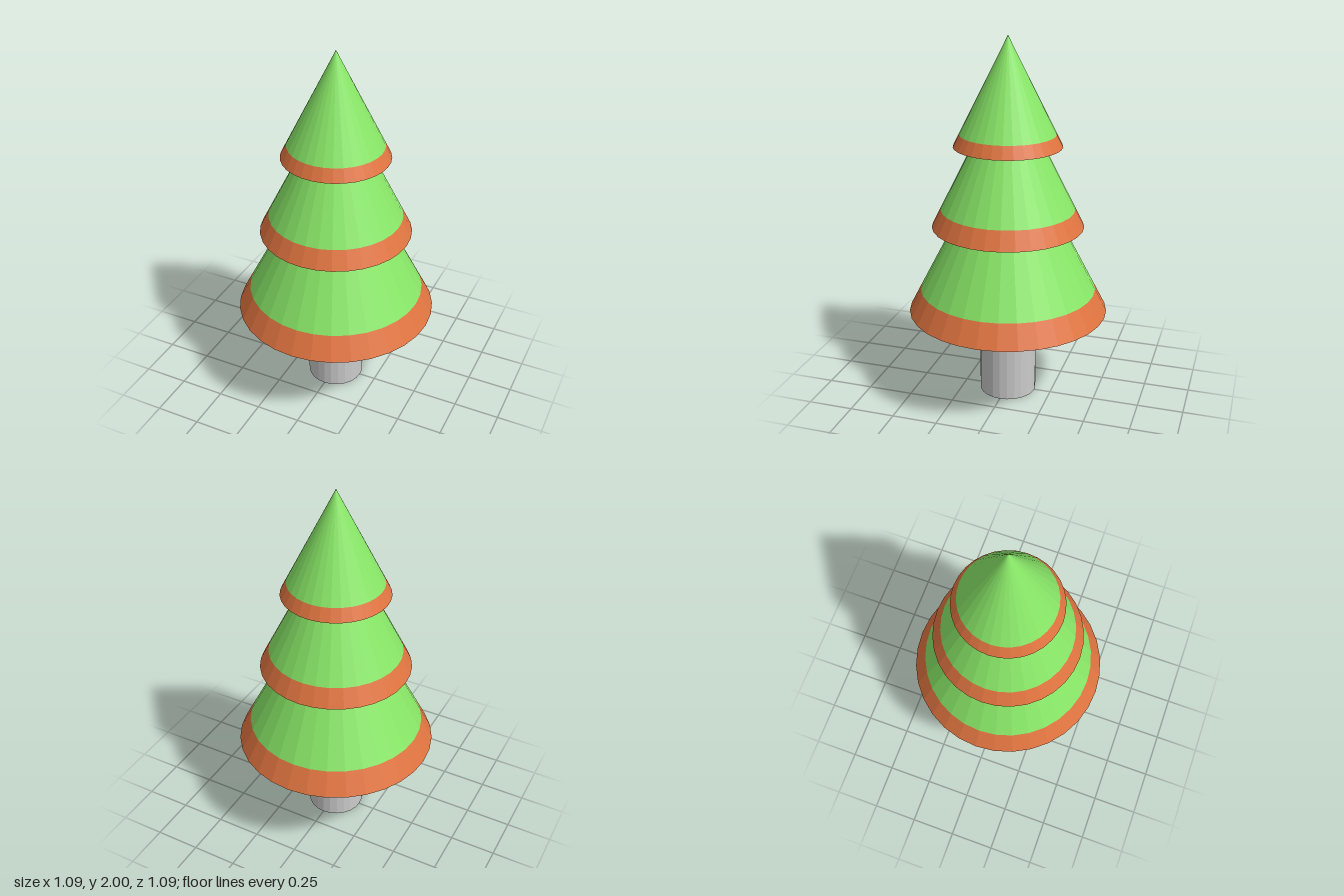
import * as THREE from 'three';

const material = (color) => new THREE.MeshStandardMaterial({ color, flatShading: true });

export function createModel() {
  const tree = new THREE.Group();
  tree.name = 'tree';
  const green = material(0x88e667);
  const orange = material(0xe07440);
  const grey = material(0xcccccc);
  const SIDES = 32;

  const add = (parent, name, geometry, mat, y) => {
    const mesh = new THREE.Mesh(geometry, mat);
    mesh.name = name;
    mesh.position.y = y;
    parent.add(mesh);
  };

  // Trunk
  add(tree, 'trunk', new THREE.CylinderGeometry(0.157, 0.157, 0.5, 24), grey, 0.25);

  // Foliage tiers: a cone with a coloured rim and a closed underside
  const tiers = [
    { name: 'lowerTier', base: 0.5, radius: 0.545, rim: 0.125, apex: 1.55 },
    { name: 'middleTier', base: 0.983, radius: 0.411, rim: 0.098, apex: 1.8 },
    { name: 'upperTier', base: 1.423, radius: 0.29, rim: 0.067, apex: 2 },
  ];
  for (const { name, base, radius, rim, apex } of tiers) {
    const tier = new THREE.Group();
    tier.name = name;
    const height = apex - base;
    const rimRadius = radius * (1 - rim / height);

    add(tier, 'foliage', new THREE.ConeGeometry(rimRadius, height - rim, SIDES, 1, true),
      green, base + rim + (height - rim) / 2);
    add(tier, 'rim', new THREE.CylinderGeometry(rimRadius, radius, rim, SIDES, 1, true),
      orange, base + rim / 2);

    // Underside, its corners lined up with the rim
    const underside = new THREE.CircleGeometry(radius, SIDES).rotateX(Math.PI / 2);
    add(tier, 'underside', underside, green, base);
    tree.add(tier);
  }
  return tree;
}
